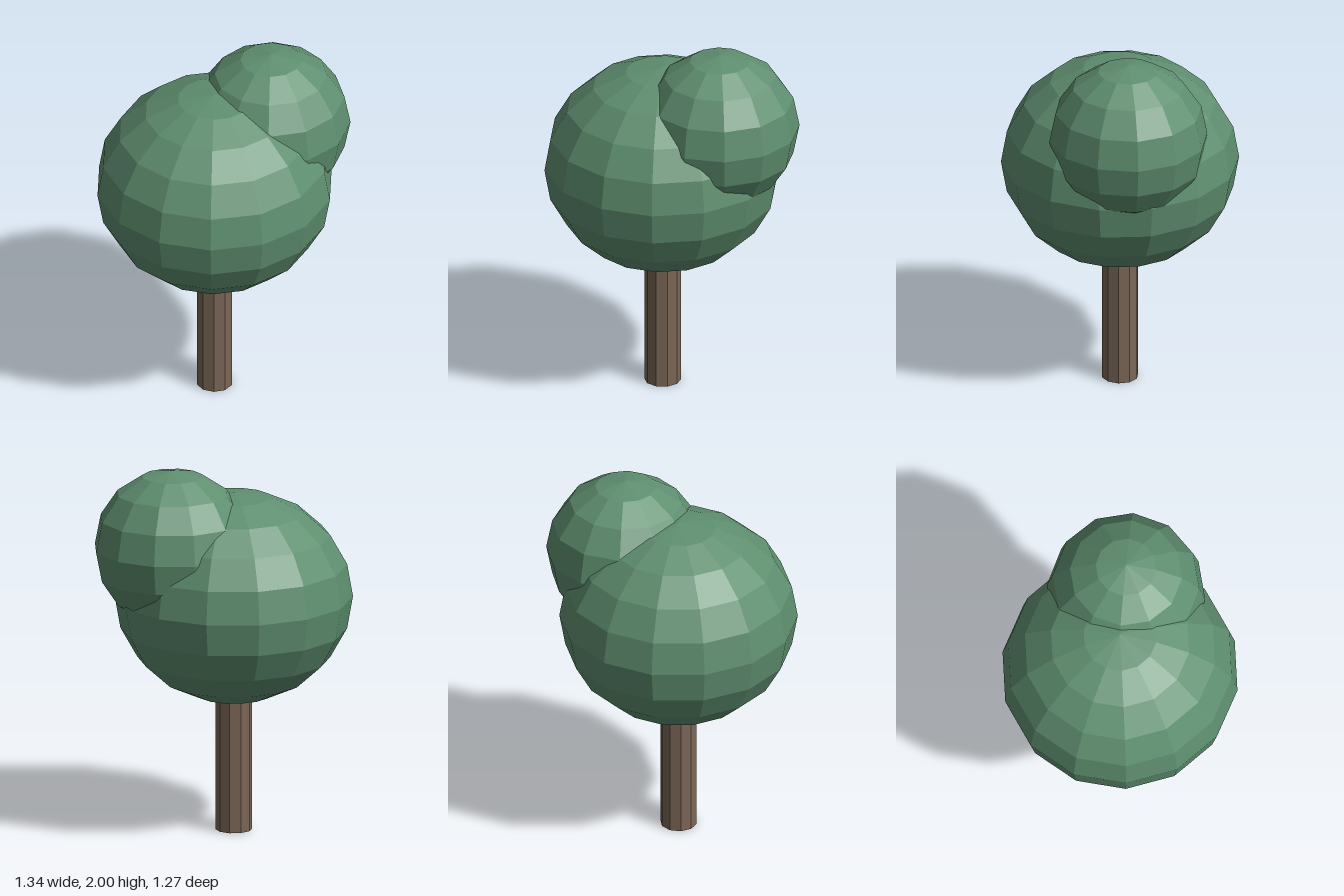
import * as THREE from 'three';

export function createModel() {
  const bark = new THREE.MeshStandardMaterial({ color: 0x7b6656, flatShading: true });
  bark.name = 'bark brown';
  const leaf = new THREE.MeshStandardMaterial({ color: 0x5f8f70, flatShading: true });
  leaf.name = 'leaf green';

  const tree = new THREE.Group();
  tree.name = 'tree';

  const add = (name, geometry, material, x, y, z) => {
    const mesh = new THREE.Mesh(geometry, material);
    mesh.name = name;
    mesh.position.set(x, y, z);
    tree.add(mesh);
    return mesh;
  };

  // Straight ten-sided trunk, its top buried in the foliage
  const trunkHeight = 0.95;
  add('trunk', new THREE.CylinderGeometry(0.098, 0.098, trunkHeight, 10), bark, -0.05, trunkHeight / 2, 0);

  // Large crown, slightly squashed, with a corner facing front and back
  const crown = new THREE.SphereGeometry(0.635, 14, 10).rotateY(Math.PI / 2).scale(1, 0.9, 1);
  add('mainCrown', crown, leaf, -0.05, 1.283, 0);

  // Smaller crown high on the back left
  const tuft = new THREE.SphereGeometry(0.424, 12, 8);
  add('smallCrown', tuft, leaf, 0.245, 1.576, -0.172);

  return tree;
}
